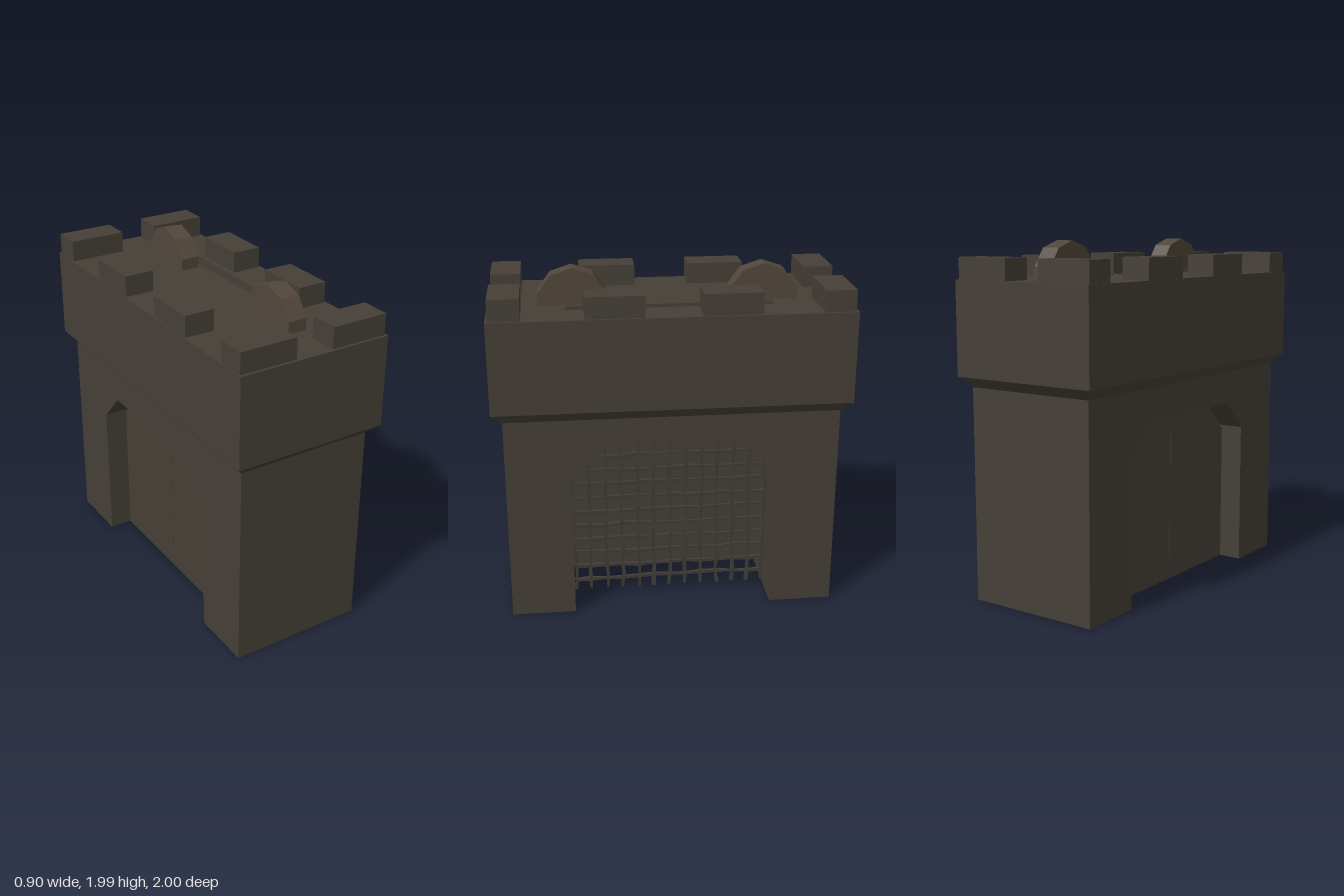
import * as THREE from 'three';

const mat = (name, color) => Object.assign(new THREE.MeshStandardMaterial({ color }), { name });

export function createModel() {
  const stone = mat('stone', 0x453f37);
  const timber = mat('timber', 0x463f37);
  const wheelWood = mat('wheelWood', 0x51463b);
  const iron = mat('iron', 0x403c37);
  const root = new THREE.Group();
  root.name = 'gatehouse';

  const add = (name, geo, material, x = 0, y = 0, z = 0) => {
    const m = new THREE.Mesh(geo, material);
    m.name = name;
    m.position.set(x, y, z);
    root.add(m);
    return m;
  };
  const box = (name, material, x0, x1, y0, y1, z0, z1) =>
    add(name, new THREE.BoxGeometry(x1 - x0, y1 - y0, z1 - z0), material,
      (x0 + x1) / 2, (y0 + y1) / 2, (z0 + z1) / 2);

  // Extrudes a z/y outline along x, from x0 to x1
  const slab = (name, material, pts, x0, x1) => {
    const shape = new THREE.Shape(pts.map(([z, y]) => new THREE.Vector2(-z, y)));
    const geo = new THREE.ExtrudeGeometry(shape, { depth: x1 - x0, bevelEnabled: false });
    geo.rotateY(Math.PI / 2);
    return add(name, geo, material, x0);
  };

  // Walls with a clipped arch, before and behind the portcullis slot
  const W = 0.397, D = 0.94, H = 1.2, Z = 0.575;
  const S0 = 0.165, S1 = 0.235;
  const wall = (name, topY, topZ, x0, x1) => slab(name, stone, [
    [-D, 0], [-Z, 0], [-Z, 0.84], [-topZ, topY], [topZ, topY], [Z, 0.84], [Z, 0],
    [D, 0], [D, H], [-D, H]], x0, x1);
  wall('rearWall', 1.015, 0.41, -W, S0);
  wall('frontWall', 1.055, 0.38, S1, W);
  for (const s of [-1, 1])
    box('slotPier', stone, S0, S1, 0, H, s < 0 ? -D : Z, s < 0 ? -Z : D);

  // Overhanging head with a flared base and a slot for the portcullis
  const rect = (P, x0, x1, z0, z1) => new P([[x0, z0], [x1, z0], [x1, z1], [x0, z1]]
    .map(([x, z]) => new THREE.Vector2(x, z)));
  const plan = rect(THREE.Shape, -0.45, 0.45, -1, 1);
  plan.holes.push(rect(THREE.Path, S0, S1, -Z, Z));
  const head = new THREE.ExtrudeGeometry(plan, { depth: 0.58, steps: 2, bevelEnabled: false });
  head.rotateX(-Math.PI / 2);
  const p = head.attributes.position;
  for (let i = 0; i < p.count; i++) {
    const x = p.getX(i), y = p.getY(i), z = p.getZ(i);
    if (Math.abs(y - 0.29) < 0.01) p.setY(i, 0.06);
    if (y < 0.01 && Math.abs(z) > 0.9) {
      p.setX(i, Math.sign(x) * W);
      p.setZ(i, Math.sign(z) * D);
    }
  }
  head.computeVertexNormals();
  add('head', head, stone, 0, H, 0);

  // Battlements
  for (const sx of [-1, 1]) for (const sz of [-1, 1]) {
    add('cornerMerlon', new THREE.BoxGeometry(0.33, 0.12, 0.17), stone, sx * 0.275 - 0.003, 1.84, sz * 0.9);
    add('sideMerlon', new THREE.BoxGeometry(0.172, 0.12, 0.322), stone, sx * 0.354 - 0.003, 1.84, sz * 0.318);
  }

  // Ten-sided winch wheels half sunk in the roof
  for (const s of [-1, 1]) {
    const geo = new THREE.CylinderGeometry(0.2, 0.2, 0.11, 10).toNonIndexed();
    geo.rotateZ(Math.PI / 2);
    geo.rotateX(Math.PI / 2); // puts a corner at the top
    geo.computeVertexNormals();
    add('winchWheel', geo, wheelWood, 0.08, 1.785, s * 0.532);
  }

  // Pair of doors
  for (const s of [-1, 1]) {
    const pts = [[0.001, 0], [Z, 0], [Z, 0.815], [0.4, 1.005], [0.001, 1.005]];
    slab('door', timber, pts.map(([z, y]) => [s * z, y]), -0.26, -0.16);
  }

  // Portcullis of rough, slightly crooked bars
  let seed = 7;
  const rnd = () => (seed = (seed * 16807) % 2147483647) / 2147483647 - 0.5;
  const bar = (name, len, n, vertical) => {
    const geo = new THREE.BoxGeometry(0.018, len, 0.018, 1, n, 1).toNonIndexed();
    const jit = Array.from({ length: n + 1 }, () => [rnd() * 0.006, rnd() * 0.014, 1 + rnd() * 0.7]);
    const q = geo.attributes.position;
    for (let i = 0; i < q.count; i++) {
      const [dx, dz, k] = jit[Math.round((q.getY(i) / len + 0.5) * n)];
      q.setX(i, q.getX(i) * k + dx);
      q.setZ(i, q.getZ(i) * k + dz);
    }
    if (!vertical) geo.rotateX(Math.PI / 2);
    geo.computeVertexNormals();
    return add(name, geo, iron, 0.2);
  };
  for (let i = 0; i < 13; i++)
    bar('portcullisUpright', 1.06, 12, true).position.set(0.2, 0.57, (i - 6) * 0.094);
  for (let i = 0; i < 12; i++)
    bar('portcullisRail', 1.14, 12, false).position.set(0.2, 0.105 + i * 0.088, 0);

  return root;
}
